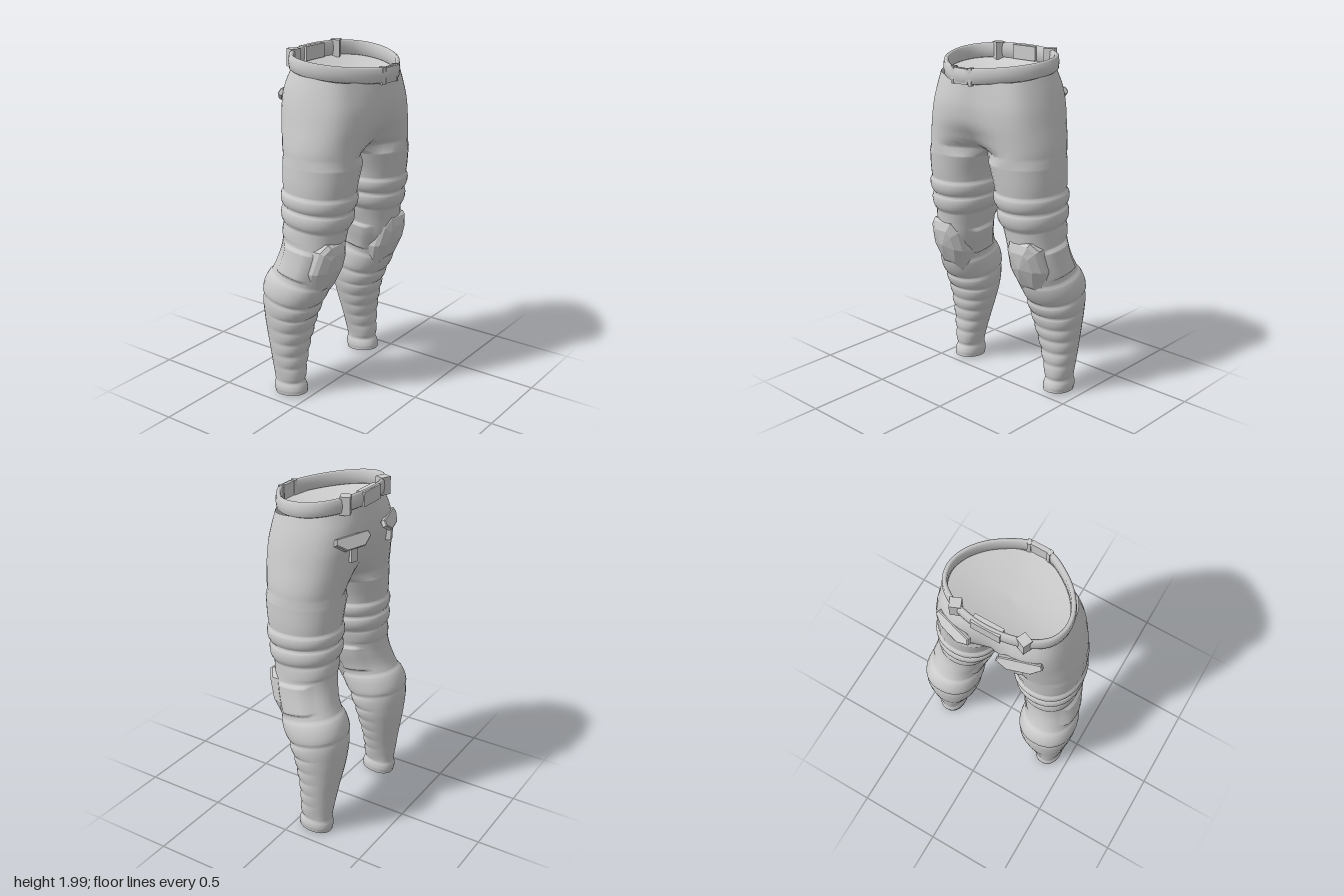
import * as THREE from 'three';
import { mergeGeometries, mergeVertices } from 'three/addons/utils/BufferGeometryUtils.js';

const fabric = new THREE.MeshStandardMaterial({ color: 0xcccccc, side: THREE.DoubleSide });
fabric.name = 'grey fabric';

const OUT = 24, INN = 8, RING = OUT + INN; // ring segments: outer arc, inner arc

// Key sections of the hips: y, front seam z, front z, outer x, back z, back seam z, tilt
const hipRows = [
  [1.45, 0.10, 0.235, 0.432, -0.21, -0.09, 0],
  [1.49, 0.175, 0.24, 0.43, -0.217, -0.135, 0],
  [1.55, 0.225, 0.247, 0.42, -0.228, -0.175, 0],
  [1.62, 0.268, 0.255, 0.405, -0.24, -0.205, 0.02],
  [1.72, 0.29, 0.255, 0.385, -0.25, -0.23, 0.05],
  [1.80, 0.293, 0.245, 0.365, -0.24, -0.235, 0.1],
  [1.89, 0.29, 0.228, 0.337, -0.205, -0.23, 0.13],
];
// Key sections of the leg: y, inner x, outer x, front z, back z, tilt
const legRows = [
  [0.02, 0.285, 0.440, -0.025, -0.225, -0.1],
  [0.10, 0.292, 0.436, -0.045, -0.226, -0.05],
  [0.20, 0.270, 0.448, -0.047, -0.240, 0],
  [0.30, 0.240, 0.460, -0.045, -0.255, 0.03],
  [0.40, 0.210, 0.470, -0.028, -0.275, 0.06],
  [0.50, 0.182, 0.482, -0.008, -0.290, 0.1],
  [0.60, 0.168, 0.490, 0.025, -0.296, 0.18],
  [0.70, 0.172, 0.478, 0.070, -0.268, 0.2],
  [0.80, 0.165, 0.458, 0.120, -0.225, 0.18],
  [0.90, 0.137, 0.440, 0.155, -0.198, 0.14],
  [1.00, 0.115, 0.430, 0.168, -0.188, 0.1],
  [1.10, 0.090, 0.428, 0.182, -0.188, 0.08],
  [1.20, 0.070, 0.433, 0.202, -0.192, 0.05],
  [1.30, 0.055, 0.438, 0.220, -0.200, 0.02],
  [1.41, 0.025, 0.435, 0.235, -0.208, 0],
];
// Padded rolls: low y, high y, bulge, side (0 all round, 1 front, -1 back)
const rolls = [
  [1.165, 1.25, 0.016, 0], [1.065, 1.16, 0.018, 0], [0.97, 1.055, 0.008, -1],
  [0.62, 0.75, 0.014, 0], [0.52, 0.61, 0.012, 1], [0.435, 0.52, 0.012, 1],
  [0.355, 0.435, 0.012, 1], [0.275, 0.355, 0.012, 1], [0.195, 0.275, 0.011, 1],
  [0.10, 0.195, 0.01, 1], [0.03, 0.09, 0.007, 0],
];

function sampler(rows) {
  const width = rows[0].length - 1;
  const cubic = new THREE.CubicInterpolant(rows.map(r => r[0]), rows.flatMap(r => r.slice(1)), width);
  return y => Array.from(cubic.evaluate(y));
}
const hipAt = sampler(hipRows), legAt = sampler(legRows);

function hipArc(y) {
  const [sf, f, ox, b, sb, tilt] = hipAt(y);
  const mid = (f + b) / 2, h = (f - b) / 2;
  const pts = [[0, sf], [0.52 * ox, f], [0.87 * ox, mid + 0.68 * h], [ox, mid],
    [0.88 * ox, mid - 0.68 * h], [0.52 * ox, b], [0, sb]];
  const curve = new THREE.CatmullRomCurve3(pts.map(([x, z]) => new THREE.Vector3(x, y - tilt * z, z)), false, 'catmullrom');
  return Array.from({ length: OUT + 1 }, (_, i) => curve.getPoint(i / OUT));
}

function legRing(y) {
  const [xi, xo, f, b, tilt] = legAt(y);
  const cx = (xi + xo) / 2, cz = (f + b) / 2, rx = (xo - xi) / 2, rz = (f - b) / 2;
  const ring = [];
  for (let i = 0; i < RING; i++) {
    const deg = i <= OUT ? -50 + 280 * i / OUT : 230 + 80 * (i - OUT) / INN;
    const a = THREE.MathUtils.degToRad(deg), s = Math.sin(a), c = Math.cos(a);
    let bulge = 0;
    for (const [lo, hi, amp, side] of rolls) {
      if (y <= lo || y >= hi) continue;
      const weight = side === 0 ? 1 : Math.min(1, Math.max(0, side * c + 0.35));
      bulge += amp * weight * Math.sqrt(Math.sin(Math.PI * (y - lo) / (hi - lo)));
    }
    if (y > 0.785 && y < 0.945 && Math.abs(c) < 0.5) bulge += 0.014; // raised side panels
    const sq = v => Math.sign(v) * Math.abs(v) ** 0.92;
    const z = cz + (rz + bulge) * sq(c);
    ring.push(new THREE.Vector3(cx + (rx + bulge) * sq(s), y - tilt * (z - cz), z));
  }
  return ring;
}

// Joins rings of points into a skin
function skin(rings, closed, loop = false) {
  const n = rings[0].length, index = [], rows = rings.length;
  for (let r = 0; r < (loop ? rows : rows - 1); r++) {
    for (let j = 0; j < (closed ? n : n - 1); j++) {
      const a = r * n + j, b = r * n + (j + 1) % n, d = ((r + 1) % rows) * n;
      const c = d + j, e = d + (j + 1) % n;
      index.push(a, c, b, b, c, e);
    }
  }
  const g = new THREE.BufferGeometry().setFromPoints(rings.flat());
  g.setIndex(index);
  return g;
}

function mirrored(geo) {
  const g = geo.clone().scale(-1, 1, 1), ix = g.index.array;
  for (let i = 0; i < ix.length; i += 3) [ix[i], ix[i + 1]] = [ix[i + 1], ix[i]];
  return g;
}

function part(parent, name, geo) {
  const m = new THREE.Mesh(geo, fabric);
  m.name = name;
  parent.add(m);
  return m;
}

function trousers() {
  const hips = [];
  for (let i = 0; i <= 22; i++) hips.push(hipArc(1.89 - 0.02 * i));
  // Crotch ring: last hip arc closed along the centre line
  const arc = hips[22], first = arc[0], last = arc[OUT], crotch = [...arc];
  for (let i = 1; i < INN; i++) {
    const p = last.clone().lerp(first, i / INN);
    p.y -= 0.018 * Math.sin(Math.PI * i / INN);
    crotch.push(p);
  }
  const legs = [crotch];
  for (let y = 1.41; y > 0.019; y -= 0.01) legs.push(legRing(y));
  const end = legs[legs.length - 1], mid = new THREE.Vector3();
  end.forEach(p => mid.addScaledVector(p, 1 / RING));
  const sole = skin([end, end.map(() => mid.clone())], true);
  const half = mergeGeometries([skin(hips, false), skin(legs, true)]);
  const body = mergeVertices(mergeGeometries([half, mirrored(half)]), 1e-4);
  body.computeVertexNormals();
  const soles = mergeGeometries([sole, mirrored(sole)]).toNonIndexed();
  soles.computeVertexNormals();
  return { body, soles };
}

// Waist line, tilted up towards the back
const waistHalf = [[0.07, 0.283], [0.16, 0.235], [0.25, 0.16], [0.315, 0.06], [0.333, -0.04],
  [0.305, -0.125], [0.245, -0.18], [0.17, -0.213], [0.085, -0.232]];
const waistPts = [[0, 0.293], ...waistHalf, [0, -0.238], ...waistHalf.map(([x, z]) => [-x, z]).reverse()];
const waist = new THREE.CatmullRomCurve3(waistPts.map(([x, z]) => new THREE.Vector3(x, 1.925 - 0.13 * z, z)), true);

function belt() {
  const section = [[0.012, -0.035], [0.016, 0], [0.012, 0.035], [0, 0.043], [-0.012, 0.035],
    [-0.014, 0], [-0.012, -0.035], [0, -0.043]];
  const rings = [];
  for (let i = 0; i < 72; i++) {
    const p = waist.getPoint(i / 72), t = waist.getTangent(i / 72);
    const out = new THREE.Vector3(-t.z, 0, t.x).normalize();
    if (out.dot(new THREE.Vector3(p.x, 0, p.z)) < 0) out.negate();
    rings.push(section.map(([o, u]) => p.clone().addScaledVector(out, o).add(new THREE.Vector3(0, u, 0))));
  }
  const g = skin(rings, true, true);
  g.computeVertexNormals();
  return g;
}

// Shallow lining that closes the waist below the belt
function lining() {
  const edge = waist.getPoints(72).slice(0, 72).map(p => p.setY(p.y - 0.04));
  const rings = [1, 0.7, 0.4, 0].map(s => edge.map(p =>
    new THREE.Vector3(p.x * s, 1.885 + (p.y - 1.885) * s - 0.04 * (1 - s * s), p.z * s)));
  const g = skin(rings, true);
  g.computeVertexNormals();
  return g;
}

// Domed, faceted knee plate
function kneePad() {
  const outline = [[-0.075, 0.99], [0.07, 0.99], [0.11, 0.95], [0.13, 0.82], [0.085, 0.645],
    [-0.075, 0.645], [-0.125, 0.80], [-0.115, 0.93]];
  const rings = [[1, -0.08], [1, 0.004], [0.9, 0.02], [0.6, 0.028], [0, 0.03]].map(([s, off]) =>
    outline.map(([x, y]) => {
      const px = x * s, py = 0.83 + (y - 0.83) * s;
      const [, , front, , tilt] = legAt(py + tilt0(py));
      return new THREE.Vector3(0.302 + px, py, front + off - 3.2 * px * px - tilt * 0.02);
    }));
  const g = skin(rings, true).toNonIndexed();
  g.computeVertexNormals();
  return g;
}
const tilt0 = y => 0.03 * Math.sin(Math.PI * (y - 0.6) / 0.4);

function pocketFlap() {
  const pts = [[-0.105, 0.03], [0.105, 0.03], [0.115, 0.005], [0.06, -0.035], [-0.06, -0.035], [-0.115, 0.005]];
  return new THREE.ExtrudeGeometry(new THREE.Shape(pts.map(p => new THREE.Vector2(...p))),
    { depth: 0.02, bevelEnabled: true, bevelSize: 0.005, bevelThickness: 0.005, bevelSegments: 1 });
}

export function createModel() {
  const model = new THREE.Group();
  model.name = 'paddedTrousers';
  const { body, soles } = trousers();
  part(model, 'trouserBody', body);
  part(model, 'ankleCaps', soles);
  part(model, 'belt', belt());
  part(model, 'waistLining', lining());

  // Front buckle and back plate
  part(model, 'buckle', new THREE.BoxGeometry(0.1, 0.085, 0.026)).position.set(0, 1.885, 0.29);
  part(model, 'backPlate', new THREE.BoxGeometry(0.165, 0.08, 0.05)).position.set(0, 1.953, -0.23);

  const pad = kneePad();
  for (const s of [1, -1]) {
    const side = s > 0 ? 'left' : 'right';
    const clasp = part(model, side + 'BuckleClasp', new THREE.BoxGeometry(0.02, 0.095, 0.032));
    clasp.position.set(s * 0.06, 1.885, 0.284);
    clasp.rotation.y = s * 0.3;

    const loop = part(model, side + 'BeltLoop', new THREE.BoxGeometry(0.06, 0.098, 0.055));
    loop.position.set(s * 0.192, 1.95, -0.207);
    loop.rotation.y = s * 0.42;

    const knee = part(model, side + 'KneePad', pad);
    knee.scale.x = s;

    // Back pocket: flap tipped outwards with a strap hanging below
    const pocket = new THREE.Group();
    pocket.name = side + 'BackPocket';
    pocket.position.set(s * 0.19, 1.755, -0.245);
    pocket.rotation.y = Math.PI - s * 0.3;
    model.add(pocket);
    part(pocket, 'pocketFlap', pocketFlap()).rotation.x = -0.5;
    part(pocket, 'pocketStrap', new THREE.BoxGeometry(0.045, 0.1, 0.03)).position.set(0, -0.055, 0.008);
  }
  return model;
}
